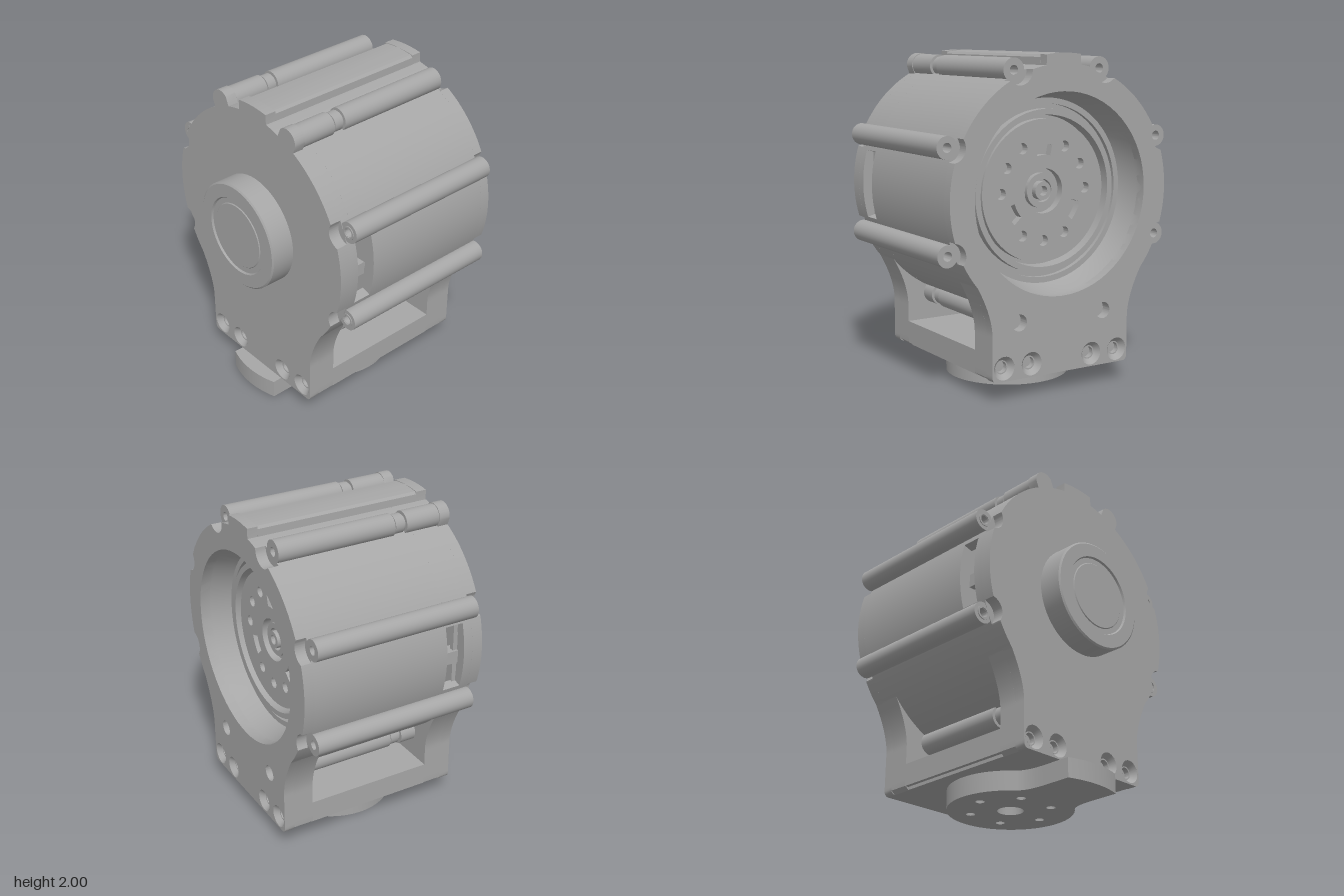
import * as THREE from 'three';
import { toCreasedNormals } from 'three/addons/utils/BufferGeometryUtils.js';

const CY = 1.18; // height of the motor axis
const R = 0.76;  // housing radius
const SIDE_LUGS = [[0.738, 1.487], [0.738, 0.878]];
const TOP_LUG = [0.3, 1.905];
const FOOT_HOLES = [-0.405, -0.215, 0.215, 0.405];

const grey = new THREE.MeshStandardMaterial({ color: 0xa6a6a6, side: THREE.DoubleSide });
grey.name = 'machined grey';

// half width of the flared foot at height y
const footWidth = (y) => {
  if (y < 0.15) return 0.455 + Math.sqrt(Math.max(0, 0.0009 - (0.15 - y) ** 2));
  return 0.485 + 0.175 * Math.pow(Math.max(0, (y - 0.4) / 0.41), 1.7);
};

// end plate silhouette, sampled around the motor axis
function plateShape(topBumps) {
  const near = (x, y, c, r) => Math.hypot(x - c[0], y - c[1]) < r;
  const inside = (px, y) => {
    const x = Math.abs(px);
    if (SIDE_LUGS.some((c) => near(x, y, c, 0.082))) return false;
    if (topBumps ? near(x, y, TOP_LUG, 0.075) : false) return true;
    if (!topBumps && near(x, y, TOP_LUG, 0.085)) return false;
    const d = Math.hypot(x, y - CY);
    if (d < R) return true;
    if (x < 0.12 && y > CY && d < 0.82) return true;
    return y > 0.12 && y < 0.85 && x < footWidth(y);
  };
  const pts = [];
  const n = 900;
  for (let i = 0; i < n; i++) {
    const a = (i / n) * Math.PI * 2;
    const test = (r) => inside(r * Math.cos(a), CY + r * Math.sin(a));
    let lo = 0.6;
    while (test(lo + 0.01)) lo += 0.01;
    let hi = lo + 0.01;
    for (let k = 0; k < 14; k++) {
      const m = (lo + hi) / 2;
      if (test(m)) lo = m; else hi = m;
    }
    pts.push(new THREE.Vector2(lo * Math.cos(a), CY + lo * Math.sin(a)));
  }
  return new THREE.Shape(pts);
}

const hole = (shape, x, y, r) => {
  shape.holes.push(new THREE.Path().absarc(x, y, r, 0, Math.PI * 2, true));
  return shape;
};
const disc = (x, y, r) => new THREE.Shape().absarc(x, y, r, 0, Math.PI * 2, false);
// part of a ring around the motor axis
const arcShape = (ro, ri, a0, a1) =>
  new THREE.Shape().absarc(0, CY, ro, a0, a1, false).absarc(0, CY, ri, a1, a0, true);

export function createModel() {
  const model = new THREE.Group();
  model.name = 'motorUnit';

  const add = (name, geometry, x = 0, y = 0, z = 0) => {
    const mesh = new THREE.Mesh(geometry, grey);
    mesh.name = name;
    mesh.position.set(x, y, z);
    model.add(mesh);
    return mesh;
  };
  const prism = (shape, z0, z1, curveSegments = 32) => {
    const g = new THREE.ExtrudeGeometry(shape, { depth: z1 - z0, bevelEnabled: false, curveSegments });
    return toCreasedNormals(g.translate(0, 0, z0), 0.5);
  };
  // lathe around the z axis from [radius, z] pairs
  const turned = (pairs, segments = 64) => {
    const g = new THREE.LatheGeometry(pairs.map((p) => new THREE.Vector2(p[0], p[1])), segments);
    return toCreasedNormals(g.rotateX(Math.PI / 2), 0.5);
  };

  // end plates
  const front = plateShape(true);
  const back = plateShape(false);
  hole(back, 0, CY, 0.6);
  for (const x of FOOT_HOLES) {
    hole(front, x, 0.2, 0.07);
    hole(back, x, 0.2, 0.07);
  }
  for (const s of [-1, 1]) hole(back, s * 0.3, 0.455, 0.05);
  add('frontPlate', prism(front, 0.46, 0.53));
  add('backPlate', prism(back, -0.675, -0.61));

  // countersinks in the foot
  const sink = turned([[0.07, 0], [0.042, -0.035], [0.034, -0.035], [0.034, -0.069]], 24);
  for (const x of FOOT_HOLES) {
    add('frontCountersink', sink, x, 0.2, 0.53);
    add('backCountersink', sink, x, 0.2, -0.675).scale.z = -0.92;
  }

  // legs behind each plate, hollowed for the round housing
  const legPts = [];
  for (let i = 0; i <= 30; i++) {
    const y = 0.12 + 0.66 * (i / 30);
    legPts.push(new THREE.Vector2(footWidth(y), y));
  }
  for (let i = 0; i <= 40; i++) {
    const a = -0.58 - (Math.PI - 1.16) * (i / 40);
    legPts.push(new THREE.Vector2(0.73 * Math.cos(a), CY + 0.73 * Math.sin(a)));
  }
  for (let i = 30; i >= 0; i--) legPts.push(new THREE.Vector2(-legPts[i].x, legPts[i].y));
  const leg = new THREE.Shape(legPts);
  add('frontLeg', prism(leg, 0.34, 0.46));
  add('backLeg', prism(leg, -0.61, -0.48));

  // round housing with a slot on each side
  const ring = hole(disc(0, CY, R), 0, CY, 0.7);
  add('housing', prism(ring, -0.61, 0.28, 64));
  add('housingFrontRing', prism(ring, 0.4, 0.46, 64));
  const w = 0.28;
  add('housingTopArc', prism(arcShape(R, 0.7, w, Math.PI - w), 0.28, 0.4, 64));
  add('housingBottomArc', prism(arcShape(R, 0.7, Math.PI + w, 2 * Math.PI - w), 0.28, 0.4, 64));
  add('innerWall', prism(disc(0, CY, 0.71), 0.25, 0.275, 48));
  for (const s of [-1, 1]) {
    add('slotStrip', new THREE.BoxGeometry(0.03, 0.41, 0.03), s * 0.67, CY, 0.388);
    add('slotTab', new THREE.BoxGeometry(0.08, 0.08, 0.1), s * 0.66, 1.155, 0.35);
    add('slotPin', new THREE.BoxGeometry(0.04, 0.04, 0.04), s * 0.66, 1.15, 0.285);
  }

  // raised rib along the top
  const rib = new THREE.Shape([[0.125, 1.88], [0.12, 1.975], [0.105, 1.99], [0, 2],
    [-0.105, 1.99], [-0.12, 1.975], [-0.125, 1.88]].map((p) => new THREE.Vector2(...p)));
  add('topRib', prism(rib, -0.61, 0.46));

  // bolt tubes along the housing
  const tube = (x, y, r) => hole(disc(x, y, r), x, y, 0.028);
  for (const s of [-1, 1]) {
    for (const [x, y] of SIDE_LUGS) {
      add('sideBoltTube', prism(tube(s * x, y, 0.066), -0.61, 0.457, 16));
      add('sideBoltSeat', prism(hole(disc(s * x, y, 0.042), s * x, y, 0.03), 0.457, 0.462, 16));
    }
    for (const y of [TOP_LUG[1], 2 * CY - TOP_LUG[1]]) {
      const x = s * TOP_LUG[0];
      add('boltTubeBack', prism(tube(x, y, 0.07), -0.61, 0.155, 16));
      add('boltTubeFront', prism(tube(x, y, 0.07), 0.235, 0.46, 16));
      add('boltTubeCore', prism(tube(x, y, 0.05), 0.155, 0.235, 16));
      add('boltNut', prism(tube(x, y, 0.06), 0.165, 0.222, 16));
    }
  }

  // front bearing boss
  add('frontBoss', turned([[0.342, 0.52], [0.342, 0.672], [0.332, 0.68], [0.25, 0.68],
    [0.243, 0.668], [0.21, 0.668], [0.205, 0.673], [0, 0.673]]), 0, CY, 0);

  // recess and stepped rings at the back
  add('backRecess', turned([[0.6, -0.675], [0.6, -0.6], [0.555, -0.48], [0.52, -0.48], [0.52, -0.45],
    [0.49, -0.45], [0.49, -0.5], [0.455, -0.5], [0.45, -0.42], [0, -0.42]]), 0, CY, 0);

  // drilled rotor: three slots, nine holes
  const rotor = hole(disc(0, CY, 0.43), 0, CY, 0.135);
  for (let i = 0; i < 12; i++) {
    const a = Math.PI / 2 + (i * Math.PI) / 6;
    if (i % 4 === 0) rotor.holes.push(new THREE.Path(arcShape(0.28, 0.215, a - 0.22, a + 0.22).getPoints(8)));
    else hole(rotor, 0.3 * Math.cos(a), CY + 0.3 * Math.sin(a), 0.033);
  }
  add('rotor', prism(rotor, -0.475, -0.425, 32));
  add('rotorHub', prism(hole(disc(0, CY, 0.105), 0, CY, 0.07), -0.455, -0.42));
  add('shaft', prism(hole(disc(0, CY, 0.055), 0, CY, 0.03), -0.47, -0.42));

  // floor of the foot, extruded upward
  const slab = (shape, y0, y1) => {
    const g = new THREE.ExtrudeGeometry(shape, { depth: y1 - y0, bevelEnabled: false, curveSegments: 40 });
    return toCreasedNormals(g.rotateX(-Math.PI / 2).translate(0, y0, 0), 0.5);
  };
  const floor = new THREE.Shape([[-0.485, -0.34], [0.485, -0.34], [0.485, 0.48], [-0.485, 0.48]]
    .map((p) => new THREE.Vector2(...p)));
  // stop the floor short of the rounded lower corners
  const skirt = new THREE.Shape([[-0.46, -0.34], [0.46, -0.34], [0.46, 0.48], [-0.46, 0.48]]
    .map((p) => new THREE.Vector2(...p)));
  add('floor', slab(hole(floor, 0, 0.07, 0.08), 0.14, 0.28));
  add('floorUnderside', slab(hole(skirt, 0, 0.07, 0.08), 0.12, 0.14));

  // output horn: disc with an arm to the front
  const n = (50 * Math.PI) / 180;
  const horn = new THREE.Shape();
  horn.moveTo(-0.2, -0.59);
  horn.quadraticCurveTo(0, -0.66, 0.2, -0.59);
  horn.lineTo(0.2, -0.4);
  horn.quadraticCurveTo(0.2, -0.27, 0.385 * Math.cos(n), 0.07 - 0.385 * Math.sin(n));
  horn.absarc(0, 0.07, 0.385, -n, Math.PI + n, false);
  horn.quadraticCurveTo(-0.2, -0.27, -0.2, -0.4);
  hole(horn, 0, 0.07, 0.08);
  for (let i = 0; i < 6; i++) {
    const a = (i * Math.PI) / 3;
    hole(horn, 0.25 * Math.cos(a), 0.07 + 0.25 * Math.sin(a), 0.028);
  }
  add('outputHorn', slab(horn, 0, 0.12));

  return model;
}
